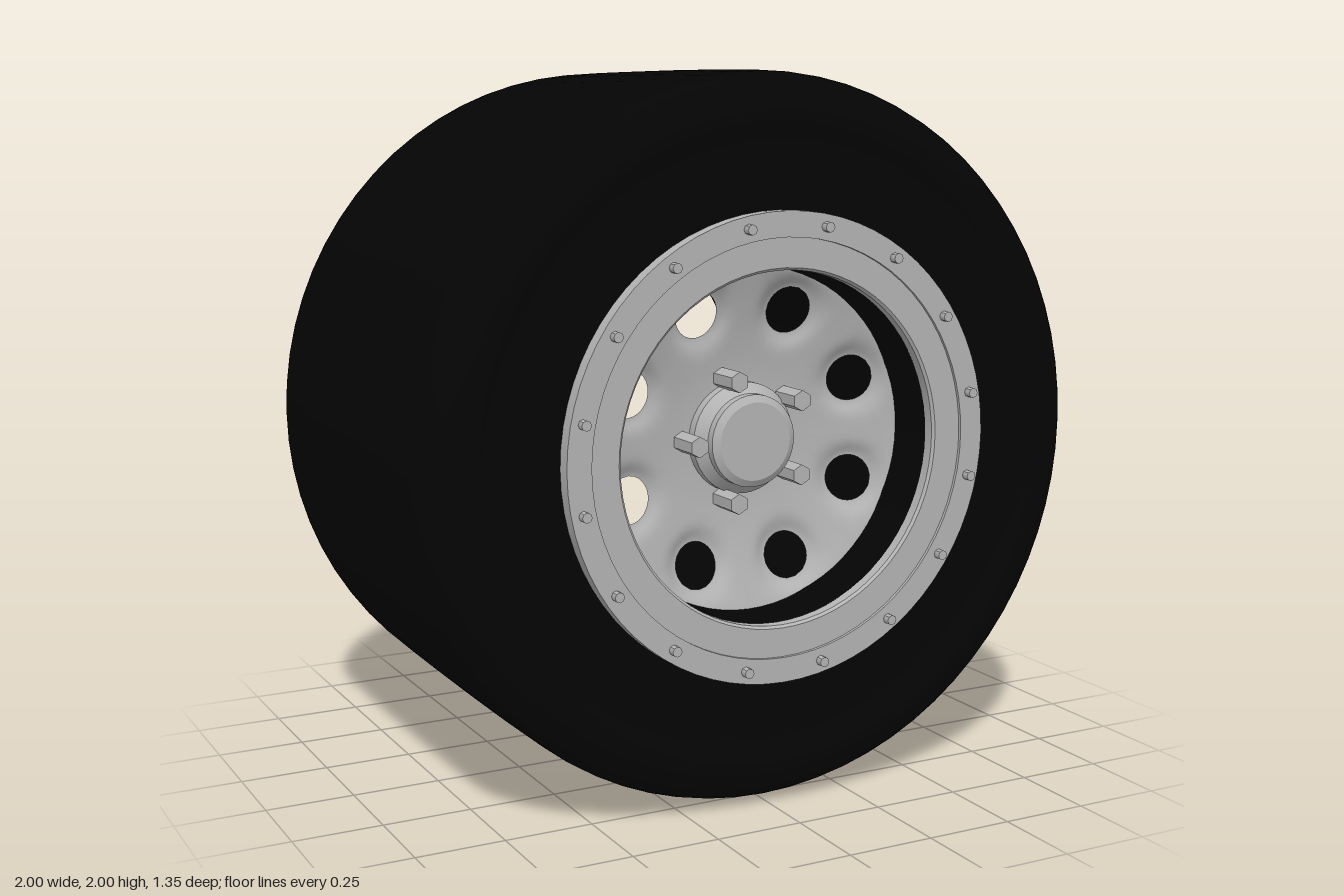
import * as THREE from 'three';
import { mergeVertices, toCreasedNormals } from 'three/addons/utils/BufferGeometryUtils.js';

const rubber = new THREE.MeshStandardMaterial({ name: 'black rubber', color: 0x040404 });
const metal = new THREE.MeshStandardMaterial({ name: 'grey metal', color: 0xb4b4b4 });
const sheet = new THREE.MeshStandardMaterial({ name: 'grey sheet metal', color: 0xb4b4b4, side: THREE.DoubleSide });

// Revolves [radius, z] points around the wheel axis
function revolve(points, segments, crease) {
  const geo = new THREE.LatheGeometry(points.map(p => new THREE.Vector2(p[0], p[1])), segments);
  geo.rotateX(Math.PI / 2);
  return toCreasedNormals(geo, crease);
}

// Quarter-round tyre shoulder
function shoulder(r, z, radius, from) {
  return Array.from({ length: 9 }, (_, i) => {
    const a = from + (i / 8) * Math.PI / 2;
    return [r + radius * Math.cos(a), z + radius * Math.sin(a)];
  });
}

function tyreGeometry() {
  return revolve([
    // rear lip and shallow sidewall groove
    [0.53, -0.59], [0.55, -0.605], [0.568, -0.638], [0.6, -0.648], [0.68, -0.652],
    [0.76, -0.65], [0.82, -0.648], [0.848, -0.664],
    ...shoulder(0.868, -0.548, 0.127, -Math.PI / 2),
    [0.999, -0.3], [1, 0], [0.999, 0.25],
    ...shoulder(0.868, 0.498, 0.127, 0),
    [0.848, 0.614], [0.82, 0.598], [0.76, 0.6], [0.68, 0.604], [0.62, 0.618], [0.48, 0.618],
    // bead seat and inner barrel
    [0.476, 0.46], [0.53, 0.455], [0.53, -0.59],
  ], 72, 0.9);
}

// Dished depth of the wheel disc, with a soft dip around each hole
const HOLE_R = 0.375, HOLE = 0.065, SECTOR = Math.PI / 8;
function discDepth(x, y) {
  const r = Math.hypot(x, y), d = Math.hypot(x - HOLE_R, y);
  const dip = 0.018 * Math.exp(-Math.pow(Math.max(0, d - HOLE) / 0.03, 2));
  return 0.4 + 0.065 * Math.pow(THREE.MathUtils.clamp((r - 0.15) / 0.326, 0, 1), 1.6) - dip;
}

// Eight equal sectors, each a set of loops from its hole to its border
function discGeometry() {
  const border = [], steps = 8, inner = 0.12, outer = 0.479;
  const polar = (r, a) => border.push([r * Math.cos(a), r * Math.sin(a)]);
  for (let i = 0; i < steps; i++) polar(outer, SECTOR * (2 * i / steps - 1));
  for (let i = 0; i < steps; i++) polar(outer + (inner - outer) * i / steps, SECTOR);
  for (let i = 0; i < steps; i++) polar(inner, SECTOR * (1 - 2 * i / steps));
  for (let i = 0; i < steps; i++) polar(inner + (outer - inner) * i / steps, -SECTOR);

  const n = border.length, loops = 8, pos = [], index = [];
  for (let s = 0; s < 8; s++) {
    const turn = SECTOR * (2 * s + 1), c = Math.cos(turn), sn = Math.sin(turn);
    const base = pos.length / 3;
    for (let k = 0; k <= loops; k++) {
      const t = Math.pow(k / loops, 1.3);
      border.forEach(([bx, by]) => {
        const a = Math.atan2(by, bx - HOLE_R);
        const x = THREE.MathUtils.lerp(HOLE_R + HOLE * Math.cos(a), bx, t);
        const y = THREE.MathUtils.lerp(HOLE * Math.sin(a), by, t);
        pos.push(x * c - y * sn, x * sn + y * c, discDepth(x, y));
      });
    }
    for (let k = 0; k < loops; k++) for (let i = 0; i < n; i++) {
      const j = (i + 1) % n, a = base + k * n, b = a + n;
      index.push(a + i, b + i, b + j, a + i, b + j, a + j);
    }
  }
  const geo = new THREE.BufferGeometry();
  geo.setAttribute('position', new THREE.Float32BufferAttribute(pos, 3));
  geo.setIndex(index);
  const merged = mergeVertices(geo, 1e-4);
  merged.computeVertexNormals();
  return merged;
}

export function createModel() {
  const model = new THREE.Group();
  model.name = 'wheel';
  const wheel = new THREE.Group();
  wheel.name = 'wheelAssembly';
  wheel.position.y = 1;
  model.add(wheel);

  function add(name, geo, mat) {
    const mesh = new THREE.Mesh(geo, mat);
    mesh.name = name;
    wheel.add(mesh);
    return mesh;
  }

  // Studs standing along the axis on a circle
  function studs(name, count, circle, start, radius, z0, z1, sides) {
    const geo = new THREE.CylinderGeometry(radius, radius, z1 - z0, sides);
    geo.rotateX(Math.PI / 2);
    const flat = toCreasedNormals(geo, 0.9);
    for (let i = 0; i < count; i++) {
      const a = start + i * 2 * Math.PI / count;
      add(name, flat, metal).position.set(circle * Math.cos(a), circle * Math.sin(a), (z0 + z1) / 2);
    }
  }

  add('tyre', tyreGeometry(), rubber);

  // Clamping ring with a slightly lower inner flange
  add('beadRing', revolve([
    [0.565, 0.6], [0.634, 0.6], [0.634, 0.656], [0.565, 0.656], [0.565, 0.647],
    [0.485, 0.647], [0.478, 0.64], [0.478, 0.61], [0.565, 0.6],
  ], 72, 0.5), metal);
  studs('ringBolt', 16, 0.6, Math.PI / 16, 0.014, 0.65, 0.678, 8);

  add('wheelDisc', discGeometry(), sheet);

  // Hub with a chamfered shoulder and a narrower cap
  add('hub', revolve([
    [0, 0.375], [0.155, 0.375], [0.155, 0.43], [0.128, 0.46], [0.128, 0.485],
    [0.108, 0.497], [0, 0.497],
  ], 40, 0.4), metal);
  studs('wheelNut', 5, 0.176, Math.PI, 0.029, 0.38, 0.505, 6);

  return model;
}
